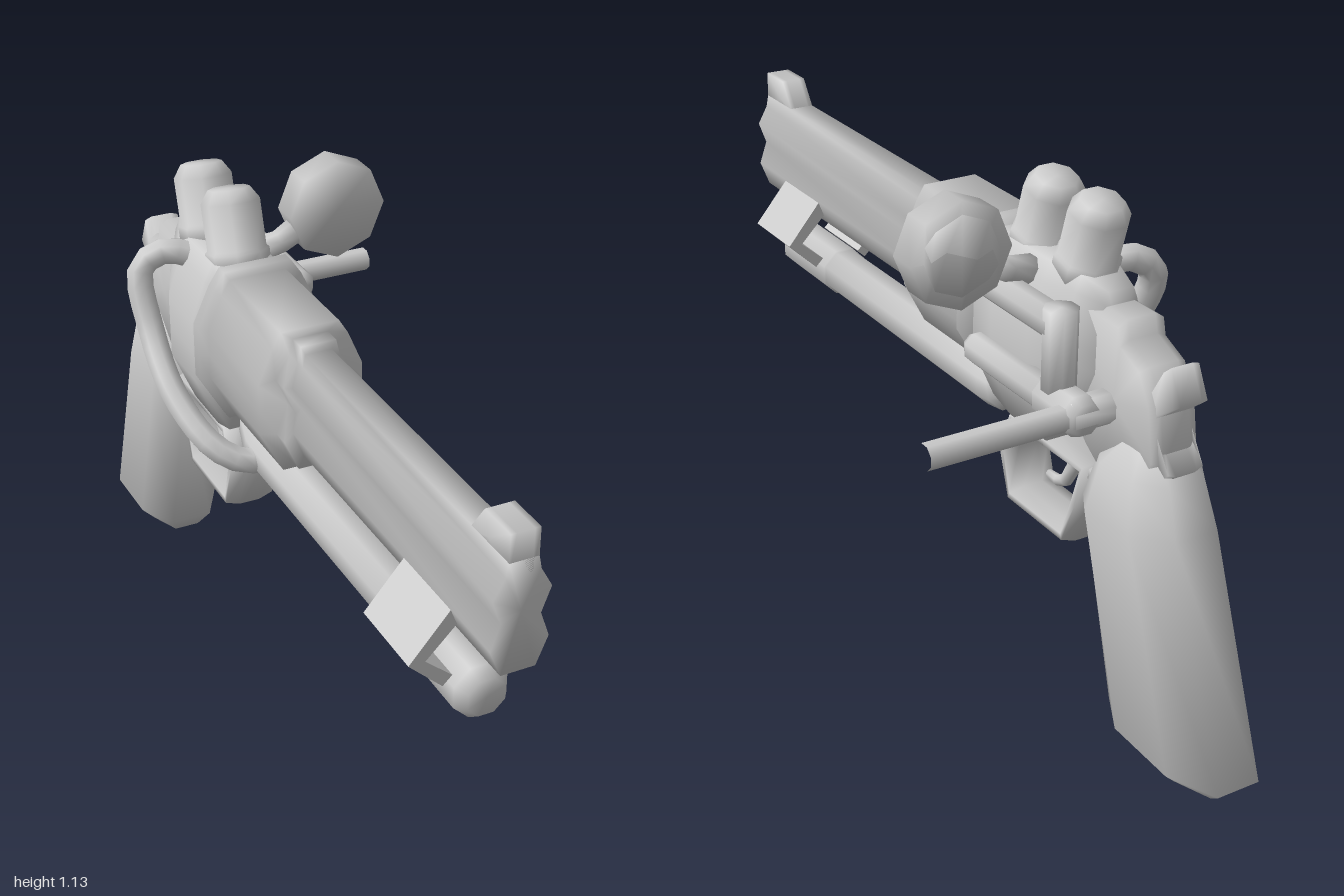
import * as THREE from 'three';

const metal = new THREE.MeshStandardMaterial({ color: 0xcccccc });
metal.name = 'light grey metal';
const V = (x, y, z) => new THREE.Vector3(x, y, z);

// Smooth normals weighted by corner angle, so small steps count as much as long walls
function softNormals(g, pos, idx) {
  const P = Array.from({ length: pos.length / 3 }, (_, i) => V(pos[3 * i], pos[3 * i + 1], pos[3 * i + 2]));
  const N = P.map(() => V(0, 0, 0));
  for (let i = 0; i < idx.length; i += 3) for (let k = 0; k < 3; k++) {
    const a = idx[i + k];
    const e = P[idx[i + (k + 1) % 3]].clone().sub(P[a]), f = P[idx[i + (k + 2) % 3]].clone().sub(P[a]);
    if (e.lengthSq() * f.lengthSq() > 0) N[a].addScaledVector(e.clone().cross(f).normalize(), e.angleTo(f));
  }
  g.setAttribute('normal', new THREE.Float32BufferAttribute(N.flatMap(n => n.normalize().toArray()), 3));
}

// Joins equal-length loops of points into one smooth skin, with optional end caps.
function loft(loops, capped = true) {
  const n = loops[0].length, pos = [], idx = [];
  loops.forEach(l => l.forEach(p => pos.push(p.x, p.y, p.z)));
  for (let s = 0; s < loops.length - 1; s++) for (let i = 0; i < n; i++) {
    const a = s * n + i, b = s * n + (i + 1) % n;
    idx.push(a, b, b + n, a, b + n, a + n);
  }
  if (capped) [0, loops.length - 1].forEach((s, end) => {
    const c = loops[s].reduce((t, p) => t.add(p), V(0, 0, 0)).divideScalar(n);
    const k = pos.length / 3;
    pos.push(c.x, c.y, c.z);
    for (let i = 0; i < n; i++) {
      const a = s * n + i, b = s * n + (i + 1) % n;
      idx.push(k, ...(end ? [a, b] : [b, a]));
    }
  });
  // Turn the skin outwards when its enclosed volume is negative
  const at = i => V(pos[3 * i], pos[3 * i + 1], pos[3 * i + 2]).sub(loops[0][0]);
  let vol = 0;
  for (let i = 0; i < idx.length; i += 3) vol += at(idx[i]).dot(at(idx[i + 1]).cross(at(idx[i + 2])));
  if (vol < 0) for (let i = 0; i < idx.length; i += 3) [idx[i], idx[i + 1]] = [idx[i + 1], idx[i]];
  const g = new THREE.BufferGeometry();
  g.setAttribute('position', new THREE.Float32BufferAttribute(pos, 3));
  g.setIndex(idx);
  softNormals(g, pos, idx);
  return g;
}

// Eight-sided pipe through points [x, y, z, radius]; ref is a direction across the path, widened by stretch.
function pipe(pts, { ref = V(1, 0, 0), capped = true, phase = Math.PI / 8, stretch = 1 } = {}) {
  const P = pts.map(p => V(p[0], p[1], p[2]));
  const whole = P[P.length - 1].clone().sub(P[0]);
  return loft(P.map((p, i) => {
    const t = P[Math.min(i + 1, P.length - 1)].clone().sub(P[Math.max(i - 1, 0)]);
    if (t.lengthSq() < 1e-8) t.copy(whole);
    t.normalize();
    const v = t.clone().cross(ref).normalize(), u = v.clone().cross(t);
    return Array.from({ length: 8 }, (_, k) => {
      const a = phase + k / 8 * Math.PI * 2, r = pts[i][3];
      return p.clone().addScaledVector(u, Math.cos(a) * r * stretch).addScaledVector(v, Math.sin(a) * r);
    });
  }), capped);
}

// Symmetric loop at depth z from right-hand points [x, y]
const section = (half, z) => [...half.map(([x, y]) => V(x, y, z)),
  ...half.slice().reverse().map(([x, y]) => V(-x, y, z))];

// Soft-edged slab with a side outline of [z, y] points, thick across x
function slab(outline, half, soft) {
  const n = outline.length;
  const cz = outline.reduce((t, p) => t + p[0], 0) / n, cy = outline.reduce((t, p) => t + p[1], 0) / n;
  return loft([[-1, soft], [-0.6, 1], [0.6, 1], [1, soft]].map(([x, s]) =>
    outline.map(([z, y]) => V(x * half, cy + (y - cy) * s, cz + (z - cz) * s))));
}

export function createModel() {
  const model = new THREE.Group();
  const body = new THREE.Group();
  body.name = 'body';
  body.position.x = -0.13;
  model.add(body);
  const add = (name, geo) => {
    const m = new THREE.Mesh(geo, metal);
    m.name = name;
    body.add(m);
    return m;
  };

  // Waisted barrel, collar, drum and flange as one stepped skin
  const wavy = (w, top, bottom) => [[0.5, 1], [0.6, 0.88], [1, 0.7], [0.68, 0.48], [1, 0.25], [0.6, 0]]
    .map(([x, y]) => [x * w, bottom + y * (top - bottom)]);
  const round = (w, top, bottom) => [[0.55, 1], [0.72, 0.9], [1, 0.66], [1, 0.48], [1, 0.31], [0.55, 0]]
    .map(([x, y]) => [x * w, bottom + y * (top - bottom)]);
  const barrel = wavy(0.06, 0.93, 0.69), collar = wavy(0.08, 0.95, 0.66);
  const drum = round(0.12, 0.97, 0.64), flange = round(0.143, 0.99, 0.63);
  add('barrelAndDrum', loft([
    section(barrel, 1), section(barrel, 0.17), section(collar, 0.17), section(collar, 0.13),
    section(drum, 0.13), section(drum, -0.14), section(flange, -0.14), section(flange, -0.17),
  ]));
  add('frontSight', slab([[1, 0.9], [1, 0.99], [0.91, 0.99], [0.86, 0.92], [0.86, 0.9]], 0.03, 1));

  // Receiver tapering to the rear
  const rear = [[0.12, 0.97, 0.58, -0.17], [0.12, 0.97, 0.56, -0.24], [0.12, 0.97, 0.56, -0.38],
    [0.085, 0.965, 0.62, -0.46], [0.055, 0.95, 0.7, -0.53]];
  add('receiver', loft(rear.map(([w, t, b, z]) => section(round(w, t, b), z))));
  add('rearFrame', slab([[-0.4, 0.92], [-0.6, 0.92], [-0.61, 0.88], [-0.68, 0.85], [-0.72, 0.78],
    [-0.74, 0.66], [-0.7, 0.58], [-0.56, 0.56], [-0.5, 0.6], [-0.42, 0.68]], 0.055, 0.92));
  add('hammer', slab([[-0.6, 0.84], [-0.67, 0.84], [-0.7, 0.81], [-0.735, 0.87], [-0.77, 0.8],
    [-0.72, 0.76], [-0.73, 0.69], [-0.77, 0.65], [-0.74, 0.62], [-0.6, 0.66]], 0.042, 0.95));

  // Two leaning capsules on top
  [-0.24, -0.4].forEach(z => add('topCapsule', pipe([
    [0, 0.93, z, 0.072], [0, 0.98, z - 0.013, 0.072], [0, 0.985, z - 0.015, 0.066],
    [0, 1.085, z - 0.045, 0.066], [0, 1.113, z - 0.053, 0.047],
  ])));

  // Lower tube with chamfered muzzle and rear neck
  add('lowerTube', pipe([
    [0, 0.557, 0.9, 0.043], [0, 0.557, 0.875, 0.062], [0, 0.557, 0.65, 0.062], [0, 0.557, 0.648, 0.058],
    [0, 0.557, -0.08, 0.058], [0, 0.56, -0.12, 0.055], [0, 0.6, -0.19, 0.04], [0, 0.62, -0.25, 0.04],
  ]));
  // Folded strips tying the lower tube to the barrel
  const strip = [[0.055, 0.75], [0.143, 0.645], [0.07, 0.575], [0.05, 0.595], [0.108, 0.645], [0.03, 0.725]];
  for (const s of [1, -1]) {
    const shape = new THREE.Shape(strip.map(([x, y]) => new THREE.Vector2(s * x, y)));
    add('bracketStrip', new THREE.ExtrudeGeometry(shape, { depth: 0.185, bevelEnabled: false }).translate(0, 0, 0.67));
  }

  // Grip: flattened octagons leaning backwards, [front z, front y, back z, back y, half width]
  const grip = [[-0.62, 0.69, -0.71, 0.69, 0.045], [-0.54, 0.61, -0.775, 0.63, 0.085],
    [-0.5, 0.49, -0.815, 0.53, 0.102], [-0.625, 0.05, -1, 0.04, 0.102], [-0.665, 0, -0.955, 0, 0.062]];
  add('grip', loft(grip.map(([z0, y0, z1, y1, w]) =>
    [[0.5, 0], [1, 0.25], [1, 0.72], [0.5, 1], [-0.5, 1], [-1, 0.72], [-1, 0.25], [-0.5, 0]]
      .map(([x, t]) => V(x * w, y0 + (y1 - y0) * t, z0 + (z1 - z0) * t)))));

  // Rounded trigger guard, its strap to the grip, and the trigger
  const guard = [[-0.36, 0.545], [-0.23, 0.545], [-0.197, 0.455], [-0.23, 0.352], [-0.437, 0.352],
    [-0.475, 0.45], [-0.5, 0.545], [-0.36, 0.545]];
  add('triggerGuard', pipe(guard.map(([z, y]) => [0, y, z, 0.019]), { stretch: 3.4 }));
  add('guardStrap', pipe([[0, 0.535, -0.47, 0.025], [0, 0.53, -0.56, 0.04]], { stretch: 1.5 }));
  add('trigger', pipe([[0, 0.55, -0.4, 0.018], [0, 0.49, -0.395, 0.017], [0, 0.44, -0.365, 0.015],
    [0, 0.425, -0.335, 0.013], [0, 0.425, -0.3, 0.01]]));

  // Side plumbing on the model's left
  add('upperSidePipe', pipe([[0.125, 0.89, -0.18, 0.025], [0.125, 0.89, -0.2, 0.037],
    [0.125, 0.89, -0.5, 0.037]]));
  add('verticalSidePipe', pipe([[0.125, 0.93, -0.505, 0.037], [0.125, 0.7, -0.505, 0.037]]));
  add('lowerSidePipe', pipe([[0.125, 0.72, -0.18, 0.025], [0.125, 0.72, -0.2, 0.037],
    [0.125, 0.72, -0.47, 0.037], [0.125, 0.725, -0.475, 0.047], [0.125, 0.725, -0.58, 0.047],
    [0.125, 0.725, -0.605, 0.035]]));
  add('crossPipe', pipe([[-0.03, 0.725, -0.572, 0.037], [0.15, 0.725, -0.572, 0.037]], { ref: V(0, 1, 0) }));
  add('sideRod', pipe([[0.14, 0.724, -0.572, 0.028], [0.475, 0.724, -0.572, 0.028]],
    { ref: V(0, 1, 0), capped: false }));

  // Round eyepiece with a raised rim around its rear lens, on a tapered arm
  add('eyepiece', pipe([[0.262, 1.013, -0.285, 0.117], [0.262, 1.013, -0.355, 0.117],
    [0.262, 1.013, -0.357, 0.088], [0.262, 1.013, -0.345, 0.085]], { phase: 0 }));
  add('lens', new THREE.CircleGeometry(0.086, 8).rotateY(Math.PI).translate(0.262, 1.013, -0.348));
  add('eyepieceArm', pipe([[0.07, 0.93, -0.32, 0.035], [0.13, 0.945, -0.32, 0.028],
    [0.175, 0.97, -0.32, 0.03]], { ref: V(0, 0, 1) }));

  // Bent hose from the receiver top down to the lower tube
  const hose = new THREE.CatmullRomCurve3([[-0.06, 0.93, -0.37], [-0.12, 0.945, -0.39], [-0.175, 0.91, -0.4],
    [-0.18, 0.78, -0.34], [-0.175, 0.67, -0.22], [-0.13, 0.585, -0.11], [-0.07, 0.55, -0.075],
    [-0.02, 0.55, -0.07]].map(p => V(...p)));
  add('hose', new THREE.TubeGeometry(hose, 20, 0.031, 8));

  return model;
}
